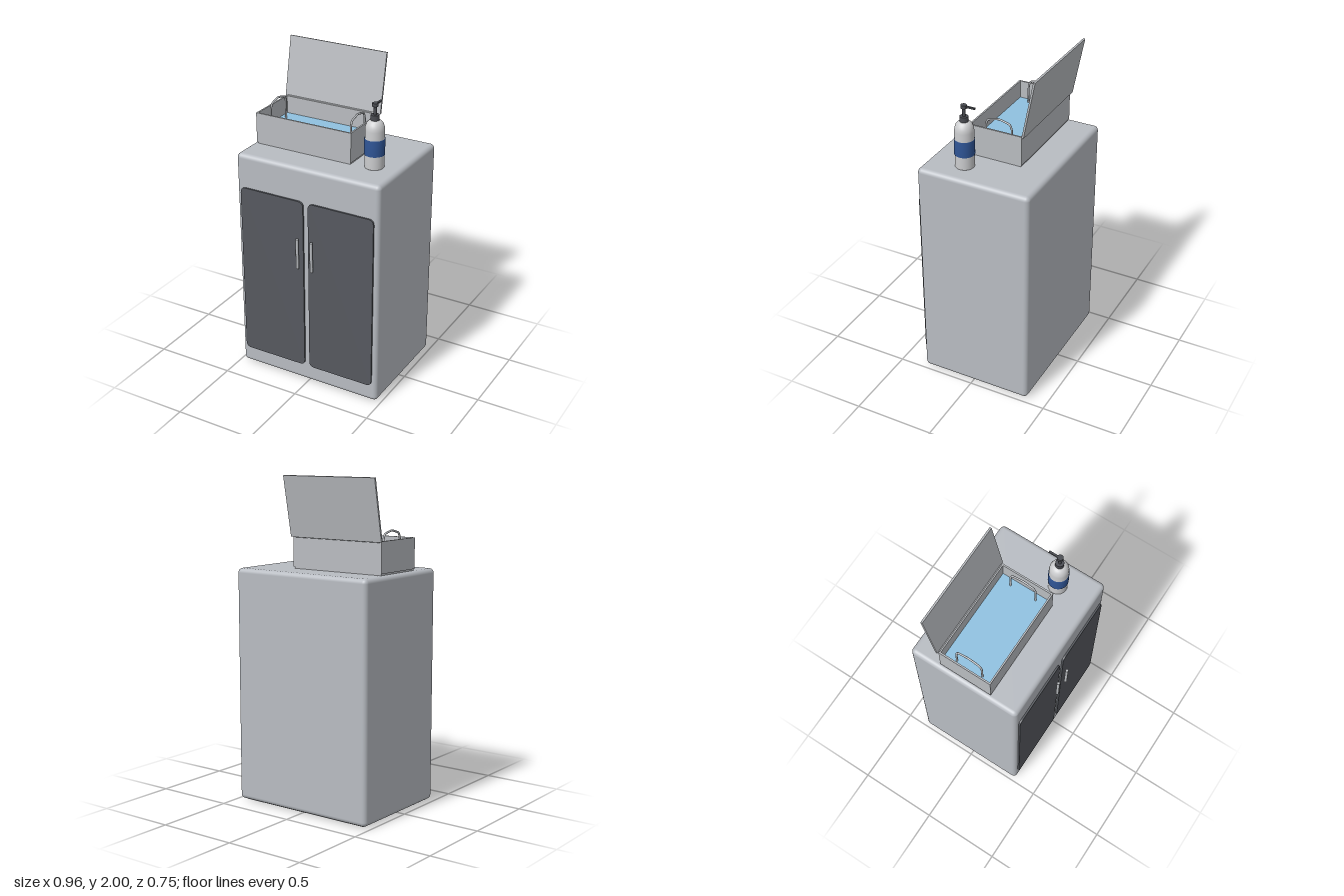
import * as THREE from 'three';
import { RoundedBoxGeometry } from 'three/addons/geometries/RoundedBoxGeometry.js';

const paint = (name, color) => {
  const m = new THREE.MeshStandardMaterial({ color });
  m.name = name;
  return m;
};

export function createModel() {
  const cabinetGrey = paint('cabinet grey', 0xb8bcc2);
  const doorGrey = paint('door dark grey', 0x56595f);
  const steel = paint('steel', 0xb9bcc0);
  const water = paint('water blue', 0x8fc1e0);
  const bottleWhite = paint('bottle white', 0xcdced0);
  const labelBlue = paint('label blue', 0x2f5596);
  const pumpGrey = paint('pump dark grey', 0x4a4c52);

  const model = new THREE.Group();
  const add = (parent, name, geometry, material, x = 0, y = 0, z = 0) => {
    const mesh = new THREE.Mesh(geometry, material);
    mesh.name = name;
    mesh.position.set(x, y, z);
    parent.add(mesh);
    return mesh;
  };
  const group = (name, x, y, z) => {
    const g = new THREE.Group();
    g.name = name;
    g.position.set(x, y, z);
    model.add(g);
    return g;
  };

  // Cabinet body with softened edges
  add(model, 'cabinet', new RoundedBoxGeometry(0.956, 1.437, 0.715, 4, 0.028), cabinetGrey, 0, 0.7265, -0.0175);
  add(model, 'cabinetBase', new THREE.BoxGeometry(0.88, 0.02, 0.64), cabinetGrey, 0, 0.01, -0.0175);

  // Rounded door panel, shared by both sides
  const w = 0.215, h = 0.558, r = 0.035;
  const panel = new THREE.Shape();
  panel.moveTo(-w + r, -h);
  panel.lineTo(w - r, -h);
  panel.quadraticCurveTo(w, -h, w, -h + r);
  panel.lineTo(w, h - r);
  panel.quadraticCurveTo(w, h, w - r, h);
  panel.lineTo(-w + r, h);
  panel.quadraticCurveTo(-w, h, -w, h - r);
  panel.lineTo(-w, -h + r);
  panel.quadraticCurveTo(-w, -h, -w + r, -h);
  const panelGeometry = new THREE.ExtrudeGeometry(panel, { depth: 0.02, bevelEnabled: false, curveSegments: 8 });
  for (const [side, s] of [['left', 1], ['right', -1]]) {
    add(model, side + 'Door', panelGeometry, doorGrey, s * 0.2315, 0.678, 0.331);
    add(model, side + 'DoorHandle', new THREE.CylinderGeometry(0.009, 0.009, 0.195, 16), steel, s * 0.048, 0.9, 0.368);
  }

  // Open bath with thin walls
  const bath = group('bath', -0.13, 1.445, -0.015);
  add(bath, 'bathFloor', new THREE.BoxGeometry(0.63, 0.015, 0.33), steel, 0, 0.0075, 0);
  for (const s of [1, -1]) {
    add(bath, 'bathLongWall', new THREE.BoxGeometry(0.64, 0.185, 0.01), steel, 0, 0.1025, s * 0.165);
    add(bath, 'bathEndWall', new THREE.BoxGeometry(0.01, 0.185, 0.32), steel, s * 0.315, 0.1025, 0);
  }
  add(bath, 'water', new THREE.BoxGeometry(0.62, 0.07, 0.32), water, 0, 0.05, 0);

  // Lifting handles rising out of the water
  const arch = new THREE.CatmullRomCurve3([
    [0.07, -0.085], [0.195, -0.083], [0.228, -0.068], [0.245, 0], [0.228, 0.068], [0.195, 0.083], [0.07, 0.085],
  ].map(([y, z]) => new THREE.Vector3(0, y, z)), false, 'catmullrom', 0.2);
  for (const s of [1, -1]) {
    add(bath, 'liftHandle', new THREE.TubeGeometry(arch, 48, 0.006, 10), steel, s * 0.272, 0, 0);
  }

  // Lid leaning back from the rear rim
  const lid = group('lid', -0.13, 1.638, -0.193);
  lid.rotation.x = -0.19;
  add(lid, 'lidPanel', new THREE.BoxGeometry(0.655, 0.368, 0.012), steel, 0, 0.184, 0);
  add(model, 'lidHinge', new THREE.CylinderGeometry(0.006, 0.006, 0.62, 10), steel, -0.13, 1.638, -0.188).rotation.z = Math.PI / 2;

  // Pump bottle
  const bottle = group('bottle', 0.32, 1.444, 0.11);
  const lathe = (points) => new THREE.LatheGeometry(points.map(([x, y]) => new THREE.Vector2(x, y)), 32);
  add(bottle, 'bottleBody', lathe([
    [0, 0], [0.053, 0], [0.057, 0.004], [0.057, 0.12], [0.057, 0.23], [0.055, 0.25],
    [0.048, 0.27], [0.037, 0.283], [0.024, 0.29], [0, 0.291],
  ]), bottleWhite);
  add(bottle, 'bottleLabel', lathe([[0.056, 0.083], [0.06, 0.083], [0.06, 0.18], [0.056, 0.18]]), labelBlue);
  add(bottle, 'pumpCollar', new THREE.CylinderGeometry(0.025, 0.025, 0.032, 24), pumpGrey, 0, 0.305, 0);
  add(bottle, 'pumpStem', new THREE.CylinderGeometry(0.009, 0.009, 0.06, 16), pumpGrey, 0, 0.345, 0);
  add(bottle, 'pumpHead', new THREE.CylinderGeometry(0.018, 0.018, 0.02, 20), pumpGrey, 0, 0.381, 0);
  add(bottle, 'pumpSpout', new THREE.BoxGeometry(0.012, 0.009, 0.072), pumpGrey, 0, 0.382, -0.036);

  return model;
}
